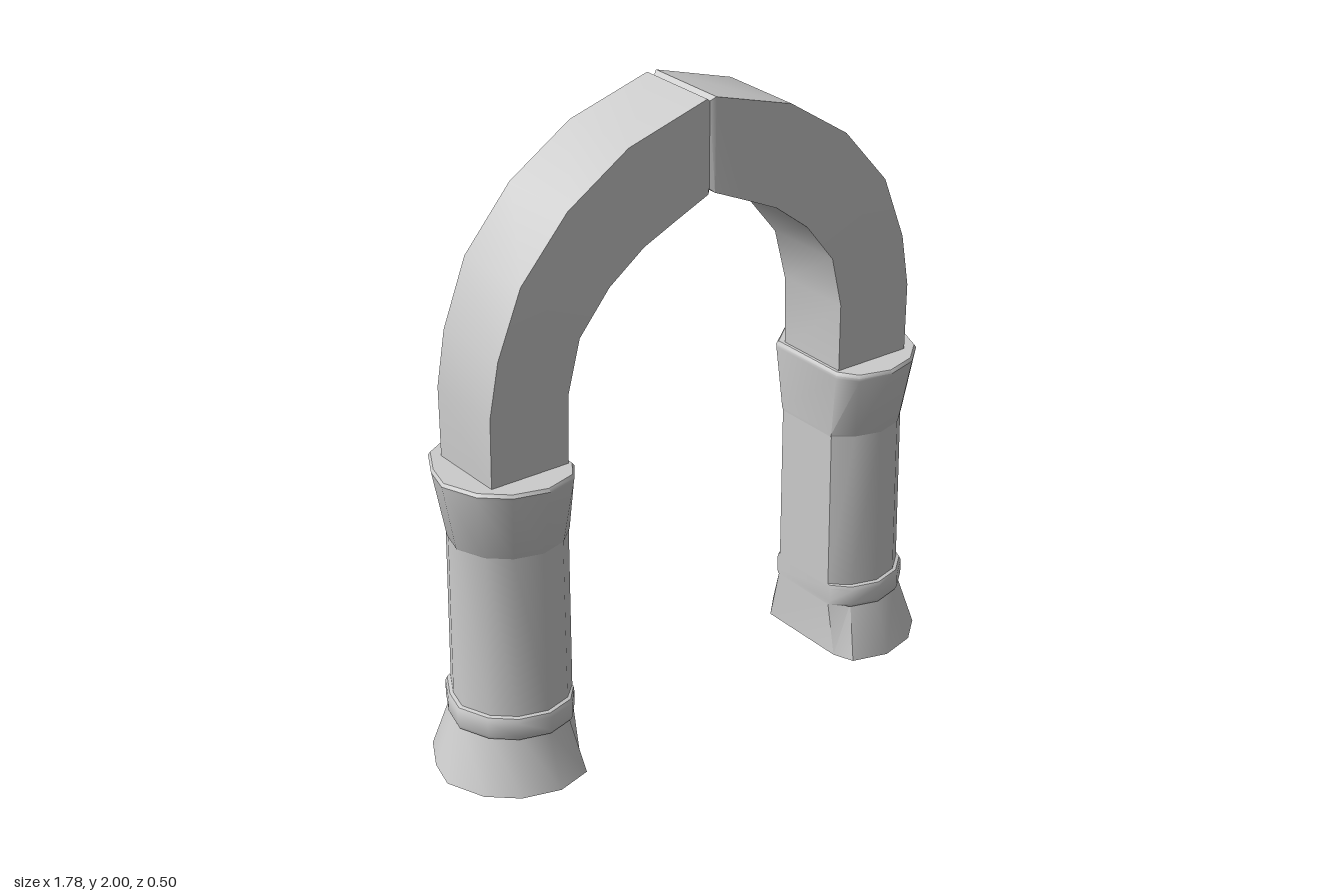
import * as THREE from 'three';
import { toCreasedNormals } from 'three/addons/utils/BufferGeometryUtils.js';

const material = new THREE.MeshStandardMaterial({ color: 0xcccccc, side: THREE.DoubleSide });

// Column outline, seen from above: [outward, z] around the column centre
const OUTLINE = [
  [-0.14, -0.176], [-0.057, -0.257], [0.067, -0.257], [0.171, -0.2], [0.23, -0.09], [0.257, 0.014],
  [0.209, 0.138], [0.124, 0.214], [0.005, 0.247], [-0.11, 0.214], [-0.14, 0.147],
];
const CENTRE = 0.632;

// Skin a list of equal-sized sections of [x, y, z]; side is +1 or -1 to mirror in x
function loft(name, sections, side, { top = false, bottom = false, crease = 0.75 } = {}) {
  const n = sections[0].length;
  const index = [];
  const tri = (a, b, c) => (side > 0 ? index.push(a, b, c) : index.push(a, c, b));
  for (let i = 0; i < sections.length - 1; i++) {
    for (let j = 0; j < n; j++) {
      const a = i * n + j, b = i * n + (j + 1) % n;
      tri(a, a + n, b);
      tri(b, a + n, b + n);
    }
  }
  const last = (sections.length - 1) * n;
  for (let j = 1; j < n - 1; j++) {
    if (top) tri(last, last + j + 1, last + j);
    if (bottom) tri(0, j, j + 1);
  }
  const positions = sections.flat().flatMap(([x, y, z]) => [x * side, y, z]);
  const geometry = new THREE.BufferGeometry();
  geometry.setAttribute('position', new THREE.Float32BufferAttribute(positions, 3));
  geometry.setIndex(index);
  const mesh = new THREE.Mesh(toCreasedNormals(geometry, crease), material);
  mesh.name = name;
  return mesh;
}

// Column section of a given radius; the side facing the opening stays flat
function ring([radius, y, flat = 0.497]) {
  const s = radius / 0.26;
  return OUTLINE.map(([dx, z]) => [
    dx === -0.14 ? flat : Math.max(flat, CENTRE + dx * s), y, z * s,
  ]);
}

function column(side) {
  const group = new THREE.Group();
  const part = (name, profile, options) => group.add(loft(name, profile.map(ring), side, options));
  part('base', [[0.26, 0], [0.197, 0.18]]);
  part('baseRing', [
    [0.192, 0.17], [0.206, 0.172], [0.212, 0.185], [0.212, 0.23], [0.206, 0.243], [0.19, 0.248],
  ], { top: true, bottom: true });
  part('shaft', [[0.195, 0.24], [0.191, 0.78]]);
  part('capital', [
    [0.188, 0.768, 0.496], [0.194, 0.778, 0.495], [0.233, 0.98, 0.489],
    [0.235, 0.99, 0.489], [0.228, 1.0, 0.495],
  ], { top: true });
  return group;
}

// Half of the arch: stations of [outer x, outer y, inner x, inner y, half depth]
const ARCH = [
  [0.77, 0.98, 0.505, 0.98, 0.13], [0.77, 1.22, 0.503, 1.22, 0.134],
  [0.74, 1.39, 0.463, 1.385, 0.137], [0.66, 1.595, 0.36, 1.515, 0.14],
  [0.5, 1.78, 0.24, 1.607, 0.142], [0.29, 1.918, 0.13, 1.658, 0.142],
  [0.016, 2.0, 0.012, 1.711, 0.142], [0, 1.988, 0, 1.722, 0.132],
];

function archHalf(name, side) {
  const sections = ARCH.map(([ox, oy, ix, iy, d]) => {
    const back = -0.005 - d, front = -0.005 + d;
    return [[ix, iy, back], [ox, oy, back], [ox, oy, front], [ix, iy, front]];
  });
  return loft(name, sections, side, { crease: 0.6 });
}

export function createModel() {
  const model = new THREE.Group();
  model.name = 'archway';
  for (const [label, side] of [['left', 1], ['right', -1]]) {
    const pillar = column(side);
    pillar.name = label + 'Column';
    model.add(pillar, archHalf(label + 'ArchHalf', side));
  }
  return model;
}
